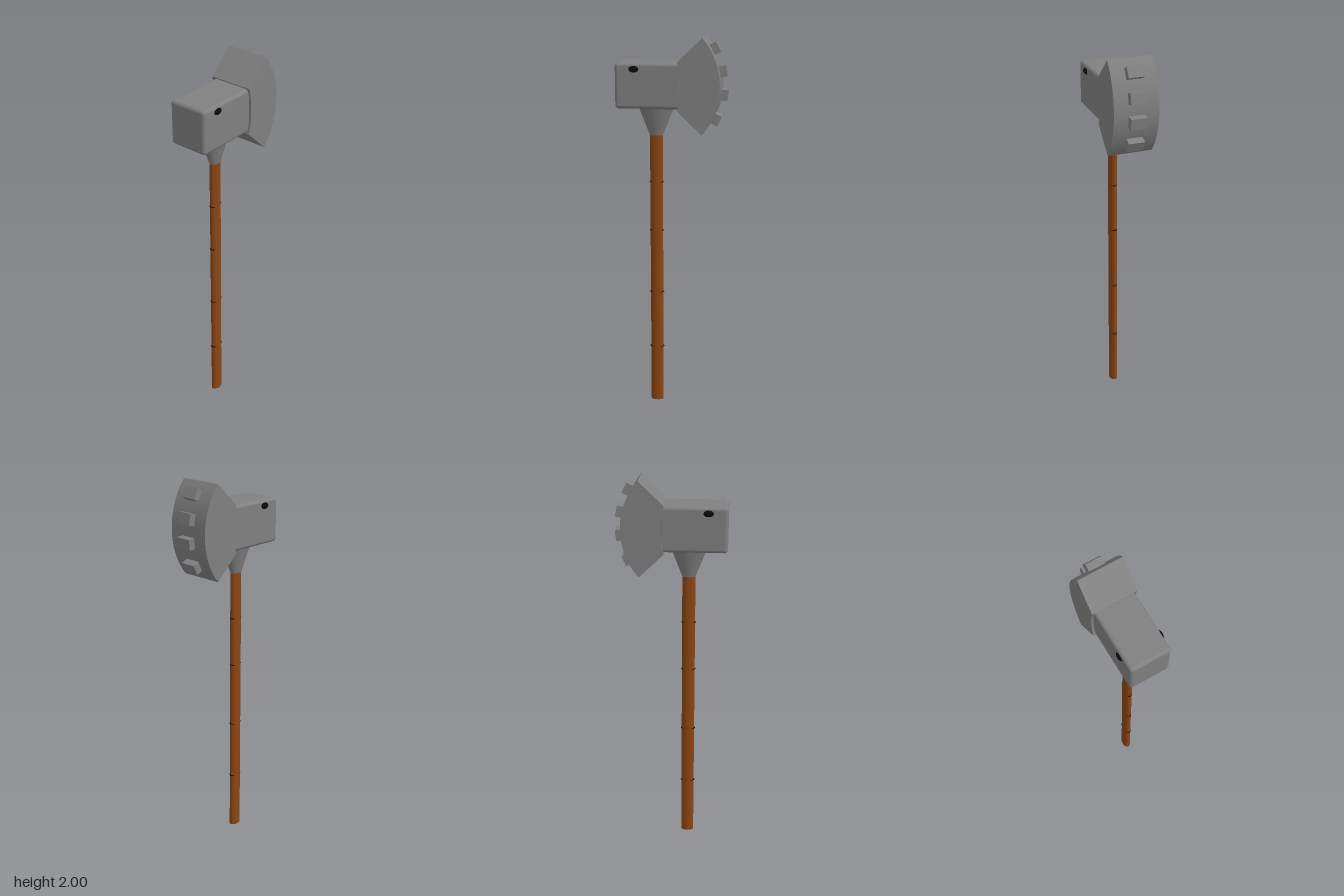
import * as THREE from 'three';
import { toCreasedNormals } from 'three/addons/utils/BufferGeometryUtils.js';
import { RoundedBoxGeometry } from 'three/addons/geometries/RoundedBoxGeometry.js';

export function createModel() {
  const model = new THREE.Group();
  const iron = new THREE.MeshStandardMaterial({ color: 0x808080 });
  const wood = new THREE.MeshStandardMaterial({ color: 0x8b4513 });
  const black = new THREE.MeshStandardMaterial({ color: 0x0a0a0a });
  const HANDLE_Z = 0.087, HEAD_Y = 1.761;

  function add(name, geometry, material, x, y, z) {
    const mesh = new THREE.Mesh(geometry, material);
    mesh.name = name;
    mesh.position.set(x, y, z);
    model.add(mesh);
    return mesh;
  }

  // Oval wooden handle with small dark pins poking out front and back
  add('handle', new THREE.CylinderGeometry(0.034, 0.034, 1.51, 32).scale(0.65, 1, 1), wood, 0, 0.755, HANDLE_Z);
  for (const y of [0.317, 0.636, 0.984, 1.248]) {
    add('handlePin', new THREE.SphereGeometry(1, 20, 12).scale(0.021, 0.006, 0.039), black, 0, y, HANDLE_Z);
  }

  // Flared collar under the head
  add('collar', new THREE.CylinderGeometry(0.095, 0.034, 0.155, 32).scale(0.64, 1, 1), iron, 0, 1.573, HANDLE_Z);

  // Hammer block with a dark oval stud on each side
  add('hammerHead', new RoundedBoxGeometry(0.212, 0.232, 0.345, 4, 0.018), iron, 0, HEAD_Y, 0.1125);
  for (const side of [-1, 1]) {
    add('sideStud', new THREE.SphereGeometry(1, 24, 16).scale(0.018, 0.018, 0.028), black, side * 0.099, 1.846, 0.187);
  }

  // Fan-shaped back plate: outline drawn in z (shape x) and y, then turned sideways
  const ARC_Z = 0.123, RADIUS = 0.374, HALF_ANGLE = 0.707;
  const fan = new THREE.Shape();
  fan.moveTo(-0.034, 0.122);
  fan.lineTo(-0.161, 0.243);
  fan.absarc(ARC_Z, 0, RADIUS, Math.PI - HALF_ANGLE, Math.PI + HALF_ANGLE, false);
  fan.lineTo(-0.034, -0.122);
  fan.quadraticCurveTo(-0.066, 0, -0.034, 0.122);
  const fanGeometry = new THREE.ExtrudeGeometry(fan, { depth: 0.234, bevelEnabled: false, curveSegments: 24 });
  fanGeometry.translate(0, 0, -0.117).rotateY(-Math.PI / 2);
  add('fanPlate', toCreasedNormals(fanGeometry, 0.5), iron, 0, HEAD_Y, 0);

  // Four block teeth standing out radially from the plate
  for (const angle of [0.5, 0.19, -0.12, -0.46]) {
    const reach = RADIUS + 0.01;
    const tooth = add('tooth', new THREE.BoxGeometry(0.084, 0.056, 0.05), iron,
      0, HEAD_Y + reach * Math.sin(angle), ARC_Z - reach * Math.cos(angle));
    tooth.rotation.x = angle;
  }

  return model;
}
